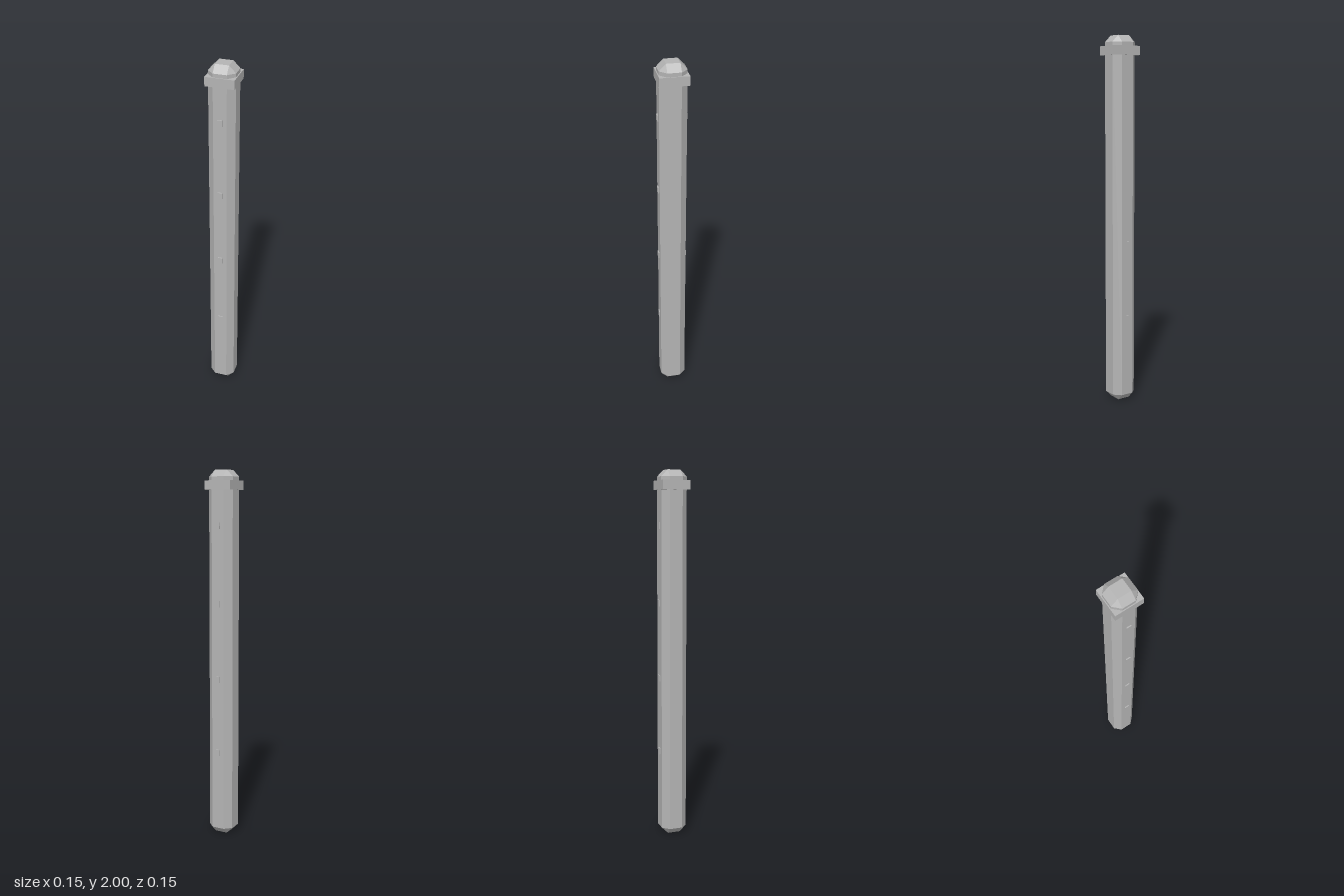
import * as THREE from 'three';
import { ConvexGeometry } from 'three/addons/geometries/ConvexGeometry.js';

const HEIGHT = 2, HALF = 0.071, CHAMFER = 0.0355;

// Square post with every edge chamfered, leaving triangular corner facets
function chamferedPost() {
  const inner = HALF - CHAMFER;
  const points = [];
  for (const sx of [-1, 1]) for (const sz of [-1, 1]) {
    for (const [end, ring] of [[0, CHAMFER], [HEIGHT, HEIGHT - CHAMFER]]) {
      points.push(
        new THREE.Vector3(sx * inner, end, sz * inner),
        new THREE.Vector3(sx * HALF, ring, sz * inner),
        new THREE.Vector3(sx * inner, ring, sz * HALF)
      );
    }
  }
  return new ConvexGeometry(points);
}

export function createModel() {
  const group = new THREE.Group();
  const grey = new THREE.MeshStandardMaterial({ color: 0xb4b4b4 });
  grey.name = 'stone grey';

  const add = (name, geometry, x, y, z) => {
    const mesh = new THREE.Mesh(geometry, grey);
    mesh.name = name;
    mesh.position.set(x, y, z);
    group.add(mesh);
  };

  add('post', chamferedPost(), 0, 0, 0);

  // Square collar below the tip
  add('collar', new THREE.BoxGeometry(0.152, 0.048, 0.152), 0, 1.921, 0);

  // Small studs on the front and back faces
  const stud = new THREE.BoxGeometry(0.026, 0.034, 0.012);
  for (const y of [0.475, 0.887, 1.299, 1.711]) {
    add('frontStud', stud, 0, y, HALF);
    add('backStud', stud, 0, y, -HALF);
  }
  return group;
}
